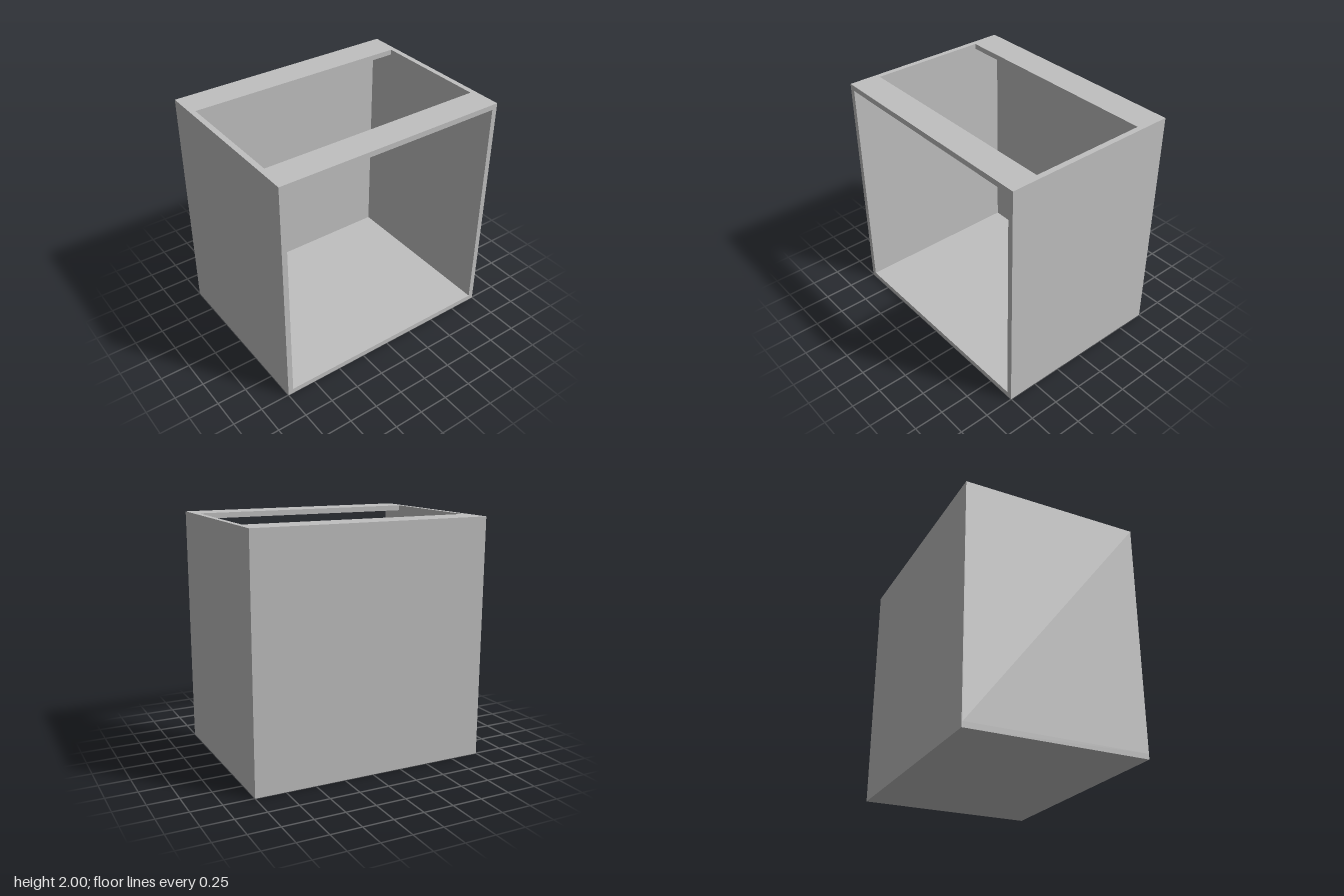
import * as THREE from 'three';

export function createModel() {
  const group = new THREE.Group();
  group.name = 'openCabinet';
  const panel = new THREE.MeshStandardMaterial({ color: 0xc0c0c0 });
  panel.name = 'grey panel';

  const T = 0.045;         // board thickness
  const BACK = 0.008;      // thin back sheet
  const Z0 = -0.753, Z1 = 0.753;
  const RAIL = 0.25;       // depth of the top rails

  // Box given by its minimum and maximum corners
  const board = (name, [x0, y0, z0], [x1, y1, z1]) => {
    const mesh = new THREE.Mesh(new THREE.BoxGeometry(x1 - x0, y1 - y0, z1 - z0), panel);
    mesh.position.set((x0 + x1) / 2, (y0 + y1) / 2, (z0 + z1) / 2);
    mesh.name = name;
    group.add(mesh);
  };

  const zb = Z0 + BACK;    // carcass starts in front of the back sheet

  // Carcass: bottom, two sides standing on it, and the back sheet
  board('bottomPanel', [-1, 0, zb], [1, T, Z1]);
  board('leftSide', [1 - T, T, zb], [1, 2, Z1]);
  board('rightSide', [-1, T, zb], [-1 + T, 2, Z1]);
  board('backPanel', [-1, 0, Z0], [1, 2, zb]);

  // Top rails between the sides
  board('frontRail', [-1 + T, 2 - T, Z1 - RAIL], [1 - T, 2, Z1]);
  board('backRail', [-1 + T, 2 - T, zb], [1 - T, 2, zb + RAIL]);

  return group;
}
